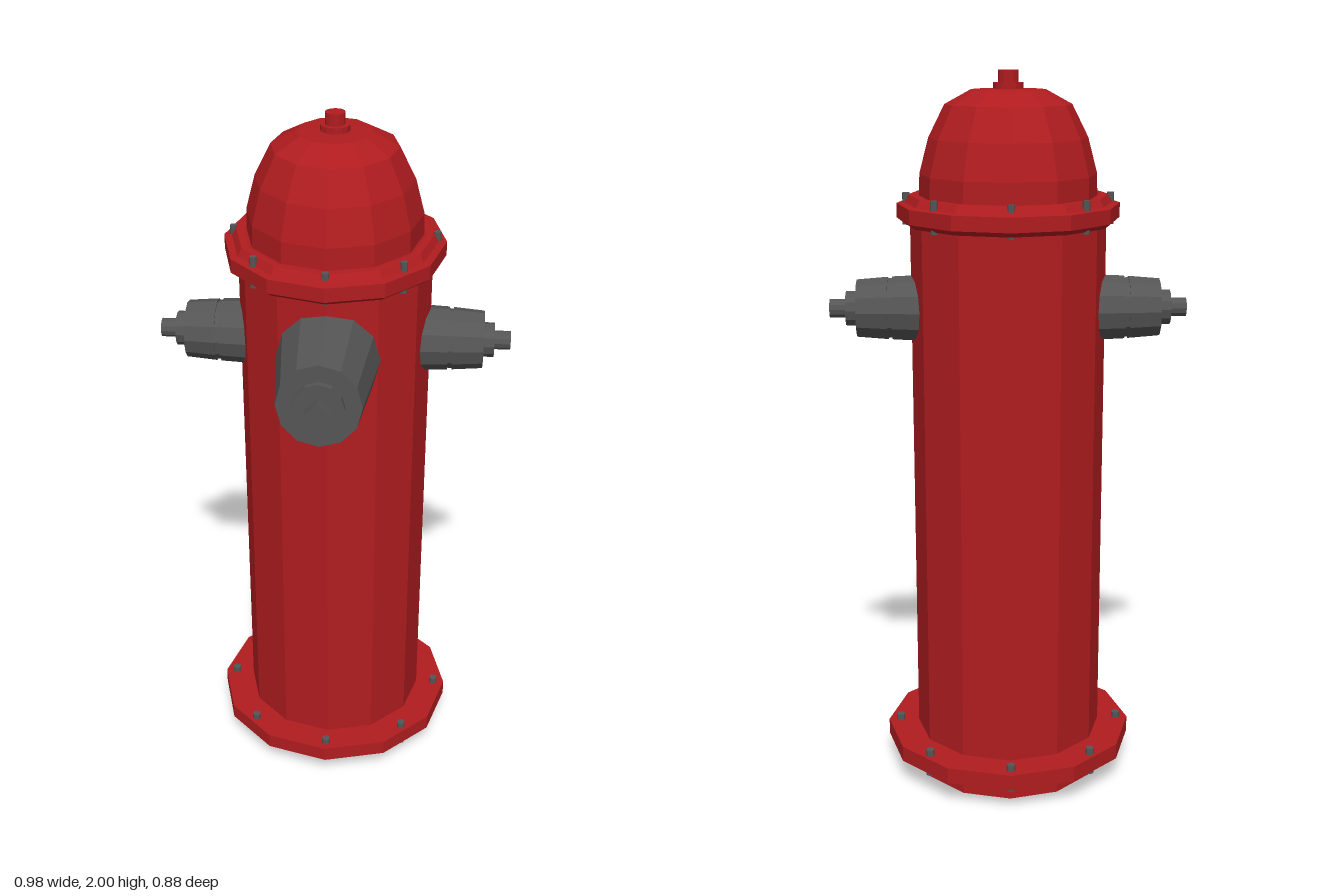
import * as THREE from 'three';

const SIDES = 12;
const AXIS_Z = -0.092; // the barrel sits behind the centre, the front outlet reaches forward

const red = new THREE.MeshStandardMaterial({ color: 0xb01c1f, flatShading: true });
const redOpen = new THREE.MeshStandardMaterial({ color: 0xb01c1f, flatShading: true, side: THREE.DoubleSide });
const grey = new THREE.MeshStandardMaterial({ color: 0x555555, flatShading: true });

// Turned part from [radius, height] pairs, listed from the bottom up
function turned(name, profile, material, sides = SIDES) {
  const points = profile.map(([r, y]) => new THREE.Vector2(r, y));
  const mesh = new THREE.Mesh(new THREE.LatheGeometry(points, sides), material);
  mesh.name = name;
  return mesh;
}

// Ring of eight bolts passing through a flange
function boltRing(name, rx, rz, yLow, yHigh, radius) {
  const ring = new THREE.Group();
  ring.name = name;
  const geometry = new THREE.CylinderGeometry(radius, radius, yHigh - yLow, 8);
  for (let i = 0; i < 8; i++) {
    const a = (i * Math.PI) / 4;
    const bolt = new THREE.Mesh(geometry, grey);
    bolt.name = 'bolt';
    bolt.position.set(Math.sin(a) * rx, (yLow + yHigh) / 2, Math.cos(a) * rz);
    ring.add(bolt);
  }
  return ring;
}

// Small hose outlet, built along +y from the barrel axis
function sideOutlet(name) {
  return turned(name, [
    [0.093, 0.2], [0.088, 0.318], [0.083, 0.318], [0.083, 0.33],
    [0.087, 0.33], [0.08, 0.415], [0.048, 0.415], [0.048, 0.445],
    [0.026, 0.445], [0.026, 0.49], [0, 0.49],
  ], grey);
}

export function createModel() {
  const model = new THREE.Group();
  model.name = 'fireHydrant';
  const hydrant = new THREE.Group();
  hydrant.name = 'hydrant';
  hydrant.position.z = AXIS_Z;
  model.add(hydrant);

  // Hollow barrel and the flange around its foot
  const barrel = turned('barrel', [[0.26, 0], [0.26, 1.62]], redOpen);
  const baseFlange = turned('baseFlange', [
    [0.255, 0.075], [0.346, 0.075], [0.346, 0.12], [0.255, 0.12],
  ], red);
  barrel.scale.x = baseFlange.scale.x = 1.024;
  hydrant.add(barrel, baseFlange);
  hydrant.add(boltRing('baseBolts', 0.32, 0.315, 0.06, 0.138, 0.012));

  // Cap: flange, dome and operating nut, slightly deeper than wide
  const cap = new THREE.Group();
  cap.name = 'cap';
  cap.scale.z = 1.09;
  cap.add(turned('capFlange', [
    [0.2, 1.6], [0.285, 1.6], [0.302, 1.613], [0.302, 1.652],
    [0.282, 1.655], [0.27, 1.675], [0.25, 1.675], [0.22, 1.665],
  ], red));
  cap.add(turned('dome', [
    [0.241, 1.655], [0.239, 1.73], [0.214, 1.825], [0.17, 1.912], [0.1, 1.95], [0, 1.953],
  ], red));
  hydrant.add(cap);
  hydrant.add(turned('topNut', [
    [0.04, 1.945], [0.04, 1.968], [0.027, 1.968], [0.027, 2], [0, 2],
  ], red));
  hydrant.add(boltRing('capBolts', 0.276, 0.294, 1.594, 1.68, 0.01));

  // Pair of side outlets
  for (const side of [1, -1]) {
    const outlet = sideOutlet(side > 0 ? 'leftOutlet' : 'rightOutlet');
    outlet.rotation.z = (-side * Math.PI) / 2;
    outlet.position.y = 1.364;
    hydrant.add(outlet);
  }

  // Large front outlet with its plate and square nut
  const front = new THREE.Group();
  front.name = 'frontOutlet';
  front.rotation.x = Math.PI / 2;
  front.position.set(0, 1.4, 0);
  front.scale.x = 0.95;
  front.add(turned('frontOutletBody', [
    [0.149, 0.21], [0.117, 0.484], [0.071, 0.484], [0.071, 0.5], [0, 0.5],
  ], grey));
  const nut = new THREE.Mesh(new THREE.CylinderGeometry(0.035, 0.035, 0.05, 4), grey);
  nut.name = 'frontNut';
  nut.position.y = 0.505;
  front.add(nut);
  hydrant.add(front);

  return model;
}
